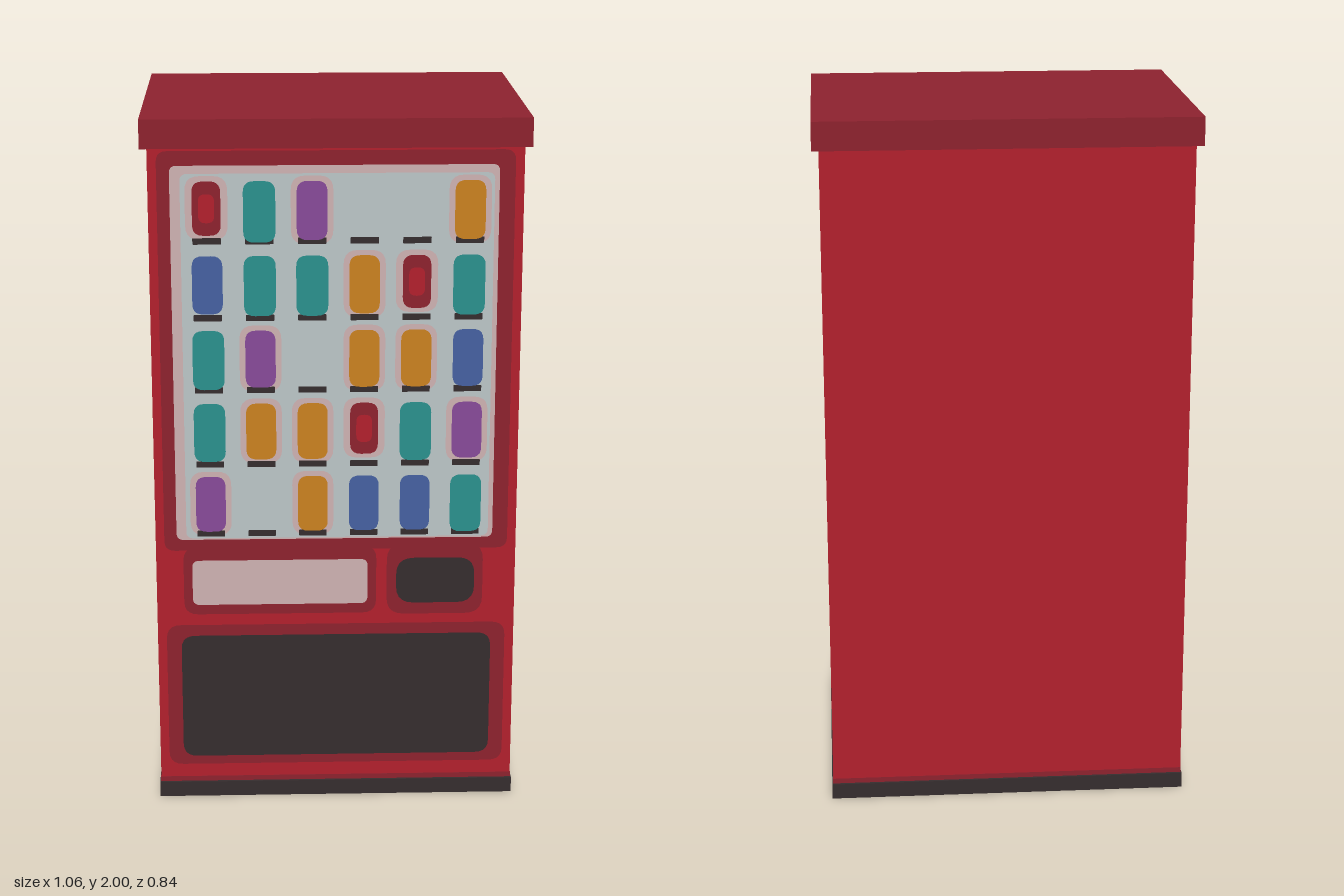
import * as THREE from 'three';

const mat = (name, color) => new THREE.MeshStandardMaterial({ name, color });

export function createModel() {
  const red = mat('red', 0xb0202c);
  const darkRed = mat('dark red', 0x8c222e);
  const pink = mat('pale pink', 0xcdb0b1);
  const grey = mat('pale grey', 0xbac4c6);
  const black = mat('charcoal', 0x352c2d);
  const cans = {
    R: darkRed,
    T: mat('teal', 0x2a908c),
    P: mat('purple', 0x864a98),
    O: mat('orange', 0xc98020),
    B: mat('blue', 0x4560a0),
  };
  const model = new THREE.Group();
  model.name = 'vendingMachine';

  function box(name, material, x, y0, y1, z) {
    const m = new THREE.Mesh(new THREE.BoxGeometry(2 * x, y1 - y0, 2 * z), material);
    m.position.y = (y0 + y1) / 2;
    m.name = name;
    model.add(m);
  }

  // Flat rounded panel on the front; higher layers lie further out
  const FRONT = 0.404, STEP = 0.0015;
  function panel(name, material, x0, x1, y0, y1, r, layer, parent = model) {
    const s = new THREE.Shape();
    s.moveTo(x0 + r, y0);
    s.lineTo(x1 - r, y0);
    s.quadraticCurveTo(x1, y0, x1, y0 + r);
    s.lineTo(x1, y1 - r);
    s.quadraticCurveTo(x1, y1, x1 - r, y1);
    s.lineTo(x0 + r, y1);
    s.quadraticCurveTo(x0, y1, x0, y1 - r);
    s.lineTo(x0, y0 + r);
    s.quadraticCurveTo(x0, y0, x0 + r, y0);
    const m = new THREE.Mesh(new THREE.ShapeGeometry(s, 5), material);
    m.position.z = FRONT + layer * STEP;
    m.name = name;
    parent.add(m);
  }

  // Cabinet
  box('base', black, 0.516, 0, 0.045, 0.412);
  box('skirt', darkRed, 0.5135, 0.045, 0.06, 0.4045);
  box('body', red, 0.5125, 0.045, 1.92, FRONT);
  box('topCap', darkRed, 0.532, 1.92, 2, 0.42);

  // Display window
  panel('windowSurround', darkRed, -0.488, 0.488, 0.765, 1.912, 0.03, 1);
  panel('windowEdge', pink, -0.453, 0.445, 0.798, 1.872, 0.02, 2);
  panel('windowBack', grey, -0.425, 0.432, 0.803, 1.85, 0.02, 3);

  // Drinks, one letter per can and a dash for an empty slot
  const rows = ['RTP--O', 'BTTORT', 'TP-OOB', 'TOORTP', 'P-OBBT'];
  const tops = [1.83, 1.623, 1.412, 1.202, 0.988];
  const shelves = [1.664, 1.448, 1.241, 1.024, 0.818];
  const drinks = new THREE.Group();
  drinks.name = 'drinks';
  model.add(drinks);
  rows.forEach((row, j) => {
    [...row].forEach((key, i) => {
      const x = -0.354 + i * 0.144;
      panel('shelfBar', black, x - 0.039, x + 0.039, shelves[j] - 0.009, shelves[j] + 0.009, 0.002, 5, drinks);
      if (key === '-') return;
      const top = tops[j];
      const w = key === 'T' ? 0.044 : key === 'R' ? 0.039 : 0.042;
      const h = key === 'T' ? 0.17 : key === 'R' ? 0.15 : 0.164;
      if ('ROP'.includes(key)) {
        panel('canGlow', pink, x - 0.058, x + 0.058, top - h - 0.012, top + 0.014, 0.04, 4, drinks);
      }
      panel('can', cans[key], x - w, x + w, top - h, top, 0.03, 6, drinks);
      if (key === 'R') panel('canCentre', red, x - 0.022, x + 0.022, top - 0.115, top - 0.035, 0.02, 7, drinks);
    });
  });

  // Sign plate and coin slot
  panel('signSurround', darkRed, -0.435, 0.115, 0.57, 0.775, 0.04, 1);
  panel('signPlate', pink, -0.41, 0.09, 0.6, 0.735, 0.02, 3);
  panel('coinSurround', darkRed, 0.145, 0.42, 0.565, 0.78, 0.05, 1);
  panel('coinSlot', black, 0.172, 0.396, 0.6, 0.737, 0.05, 3);

  // Pickup tray
  panel('traySurround', darkRed, -0.487, 0.487, 0.1, 0.537, 0.04, 1);
  panel('pickupTray', black, -0.445, 0.446, 0.127, 0.505, 0.04, 3);

  return model;
}
